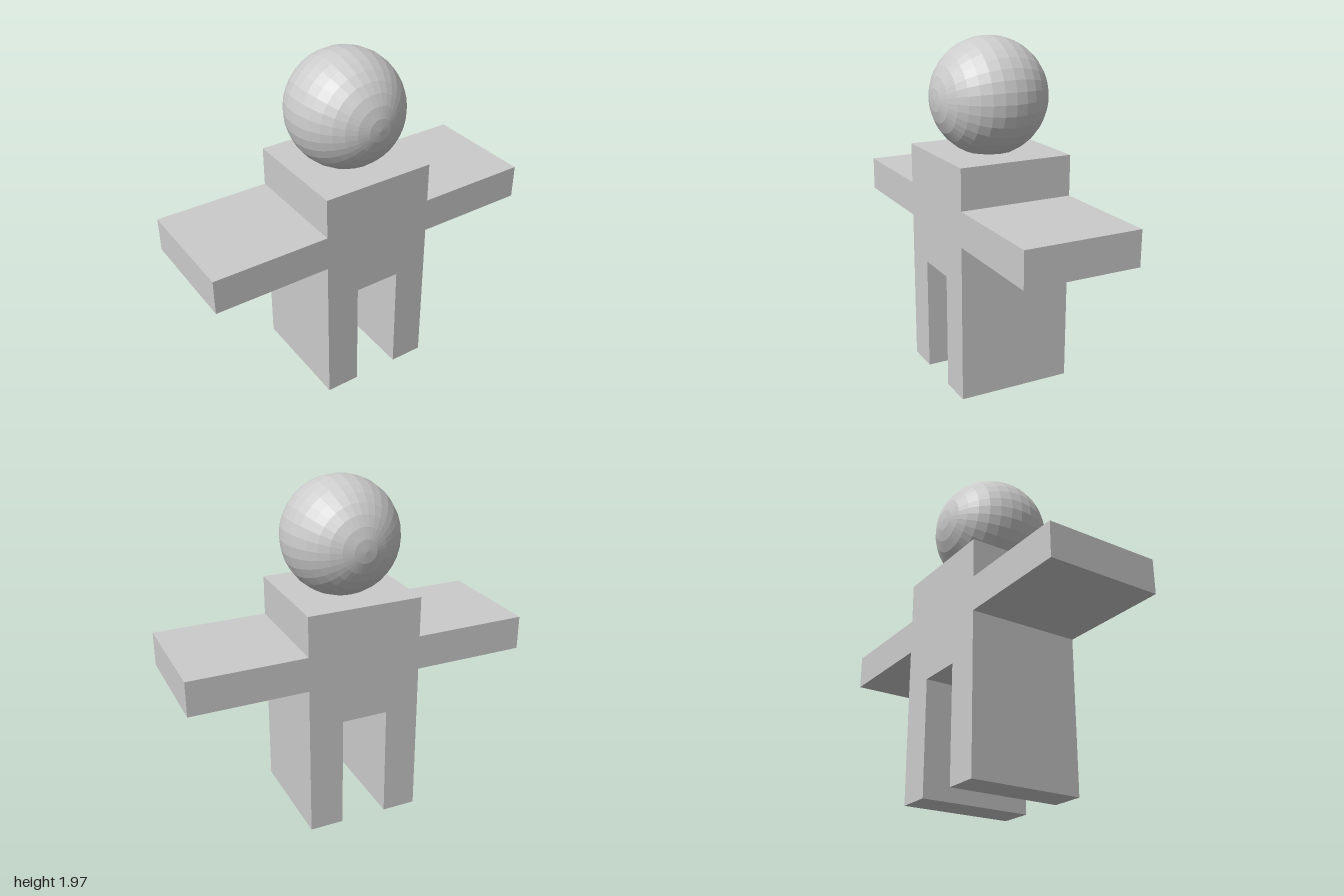
import * as THREE from 'three';

const HALF_WIDTH = 0.333; // half width of the trunk, half depth of the body, and head radius
const DEPTH = HALF_WIDTH * 2;

export function createModel() {
  const model = new THREE.Group();
  model.name = 'blockFigure';
  const material = new THREE.MeshStandardMaterial({ color: 0xcccccc, flatShading: true });

  // Body: one side of the outline from crotch to shoulder, mirrored, then extruded
  const half = [
    [0.135, 0.667], [0.135, 0], [HALF_WIDTH, 0],  // leg
    [HALF_WIDTH, 0.9], [1, 0.9], [1, 1.1], [HALF_WIDTH, 1.1], // arm
    [HALF_WIDTH, 1.333], // shoulder
  ].map(([x, y]) => new THREE.Vector2(x, y));
  const mirrored = half.map((p) => new THREE.Vector2(-p.x, p.y)).reverse();
  const bodyGeometry = new THREE.ExtrudeGeometry(new THREE.Shape([...half, ...mirrored]), {
    depth: DEPTH,
    bevelEnabled: false,
  });
  bodyGeometry.translate(0, 0, -DEPTH / 2);
  const body = new THREE.Mesh(bodyGeometry, material);
  body.name = 'bodyWithArmsAndLegs';
  model.add(body);

  // Head: faceted ball with its poles facing front and back, sunk slightly into the body
  const headGeometry = new THREE.SphereGeometry(HALF_WIDTH, 32, 16);
  headGeometry.rotateX(Math.PI / 2);
  const head = new THREE.Mesh(headGeometry, material);
  head.name = 'head';
  head.position.y = 1.635;
  model.add(head);

  return model;
}
